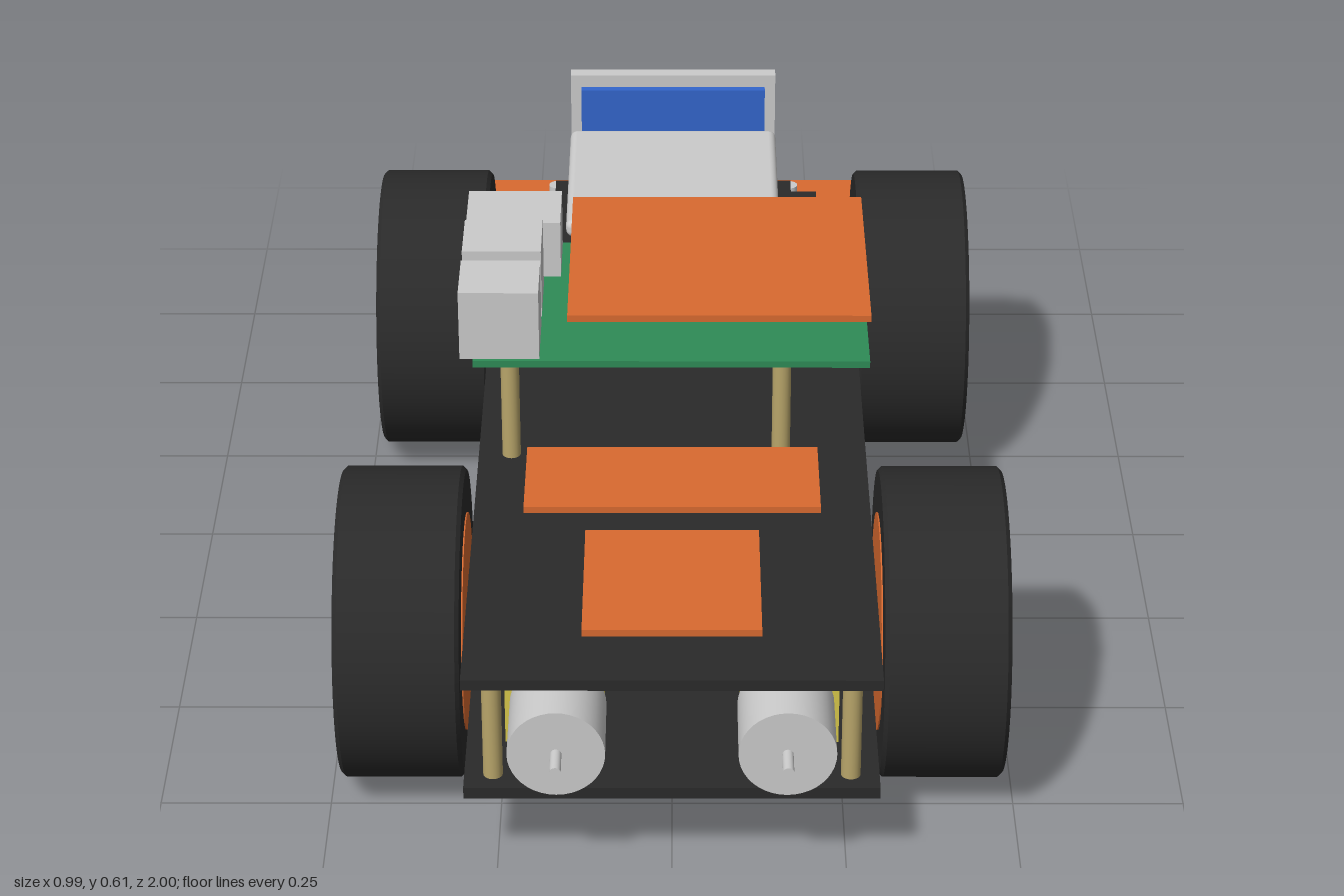
import * as THREE from 'three';
import { RoundedBoxGeometry } from 'three/addons/geometries/RoundedBoxGeometry.js';

const mat = (color) => new THREE.MeshStandardMaterial({ color });
const M = {
  black: mat(0x2a2a2a), orange: mat(0xd96a30), grey: mat(0xcccccc), green: mat(0x2e8b57),
  blue: mat(0x3366cc), yellow: mat(0xd8c84a), brass: mat(0xb8a56a),
};

export function createModel() {
  const model = new THREE.Group();
  model.name = 'robotCar';

  const add = (name, geometry, material, parent = model) => {
    const mesh = new THREE.Mesh(geometry, material);
    mesh.name = name;
    parent.add(mesh);
    return mesh;
  };
  // Box given by its limits on each axis
  const box = (name, [x0, x1], [y0, y1], [z0, z1], material) => {
    const mesh = add(name, new THREE.BoxGeometry(x1 - x0, y1 - y0, z1 - z0), material);
    mesh.position.set((x0 + x1) / 2, (y0 + y1) / 2, (z0 + z1) / 2);
    return mesh;
  };
  // Upright post
  const post = (name, x, z, y0, y1, r, material) => {
    add(name, new THREE.CylinderGeometry(r, r, y1 - y0, 20), material).position.set(x, (y0 + y1) / 2, z);
  };
  // Cylinder along z
  const rodZ = (name, x, y, z0, z1, r, material) => {
    const g = new THREE.CylinderGeometry(r, r, z1 - z0, 40).rotateX(Math.PI / 2);
    add(name, g, material).position.set(x, y, (z0 + z1) / 2);
  };
  // Cylinder along x
  const rodX = (name, x0, x1, y, z, r, material, parent = model) => {
    const g = new THREE.CylinderGeometry(r, r, Math.abs(x1 - x0), 48).rotateZ(Math.PI / 2);
    add(name, g, material, parent).position.set((x0 + x1) / 2, y, z);
  };

  // Chassis plates
  box('mainPlate', [-0.295, 0.295], [0.313, 0.33], [-0.33, 0.92], M.black);
  box('rearMainPlate', [-0.245, 0.245], [0.313, 0.33], [-0.585, -0.33], M.black);
  box('frontLowerPlate', [-0.295, 0.295], [0.13, 0.148], [0.45, 0.92], M.black);
  box('rearLowerPlate', [-0.21, 0.21], [0.19, 0.205], [-0.875, -0.48], M.black);
  box('batteryBox', [-0.268, 0.268], [0.187, 0.313], [-0.2, 0.115], M.black);

  // Wheels: tyre, hub disc and hub cap
  const WHEEL_Y = 0.228;
  const tyreProfile = [
    [0.155, -0.09], [0.222, -0.09], [0.228, -0.084], [0.228, 0.084], [0.222, 0.09], [0.155, 0.09],
  ].map(([r, y]) => new THREE.Vector2(r, y));
  // Separate lathe strips keep the tyre edges crisp
  const tyreStrips = tyreProfile.slice(1).map((p, i) =>
    new THREE.LatheGeometry([tyreProfile[i], p], 64).rotateZ(-Math.PI / 2));
  for (const side of [-1, 1]) {
    for (const [end, z] of [['front', 0.61], ['rear', -0.36]]) {
      const wheel = new THREE.Group();
      wheel.name = `${end}Wheel`;
      wheel.position.set(side * 0.392, WHEEL_Y, z);
      model.add(wheel);
      tyreStrips.forEach((g) => add('tyre', g, M.black, wheel));
      rodX('hubDisc', -0.092, 0.092, 0, 0, 0.16, M.orange, wheel);
      rodX('hubCap', -0.103, 0.103, 0, 0, 0.032, M.orange, wheel);
    }
    rodX('frontAxle', side * 0.2, side * 0.3, WHEEL_Y, 0.61, 0.016, M.grey);

    // Front drive motors
    box('gearbox', side > 0 ? [0.098, 0.238] : [-0.238, -0.098], [0.165, 0.297], [0.5, 0.83], M.yellow);
    rodZ('motor', side * 0.162, 0.23, 0.83, 0.955, 0.069, M.grey);
    rodZ('motorShaft', side * 0.162, 0.23, 0.955, 1.0, 0.008, M.grey);

    // Spacers between the plates
    for (const z of [0.49, 0.885]) post('frontSpacer', side * 0.254, z, 0.148, 0.313, 0.014, M.brass);
    post('rearSpacer', side * 0.16, -0.54, 0.205, 0.313, 0.014, M.brass);
    post('bumperPost', side * 0.208, -0.888, 0.145, 0.19, 0.015, M.grey);
  }
  rodX('rearAxle', -0.3, 0.3, WHEEL_Y, -0.36, 0.016, M.grey);

  // Rear sensor bar
  box('sensorBar', [-0.43, 0.43], [0.132, 0.143], [-1.0, -0.835], M.orange);
  for (let i = -2; i <= 2; i++) {
    const x = i * 0.134;
    box('lineSensor', [x - 0.02, x + 0.02], [0.11, 0.132], [-0.945, -0.88], M.black);
  }

  // Raised circuit board with connectors and upper board
  for (const x of [-0.245, 0.165]) {
    for (const z of [-0.05, 0.3]) post('boardSpacer', x, z, 0.33, 0.49, 0.014, M.brass);
  }
  box('circuitBoard', [-0.3, 0.297], [0.489, 0.5], [-0.07, 0.315], M.green);
  box('upperBoard', [-0.157, 0.297], [0.567, 0.578], [-0.075, 0.315], M.orange);
  box('connector', [-0.32, -0.2], [0.5, 0.612], [0.203, 0.308], M.grey);
  box('connector', [-0.32, -0.2], [0.5, 0.612], [0.07, 0.175], M.grey);
  box('connector', [-0.32, -0.174], [0.5, 0.594], [-0.065, 0.045], M.grey);

  // Front driver boards
  box('wideDriverBoard', [-0.217, 0.217], [0.388, 0.398], [0.395, 0.568], M.orange);
  box('narrowDriverBoard', [-0.126, 0.126], [0.375, 0.386], [0.612, 0.877], M.orange);

  // Receiver with padded lid
  box('receiverBase', [-0.14, 0.14], [0.33, 0.447], [-0.49, -0.213], M.orange);
  add('receiverLid', new RoundedBoxGeometry(0.345, 0.03, 0.345, 4, 0.012), M.grey).position.set(0, 0.461, -0.358);

  // Rear distance sensor
  box('sensorBracket', [-0.07, 0.07], [0.33, 0.36], [-0.66, -0.565], M.grey);
  box('sensorPanel', [-0.175, 0.175], [0.308, 0.512], [-0.688, -0.664], M.grey);
  box('sensorBoard', [-0.157, 0.157], [0.352, 0.49], [-0.664, -0.651], M.blue);
  for (const x of [-0.09, 0.09]) rodZ('sensorEye', x, 0.423, -0.746, -0.688, 0.055, M.grey);

  return model;
}
